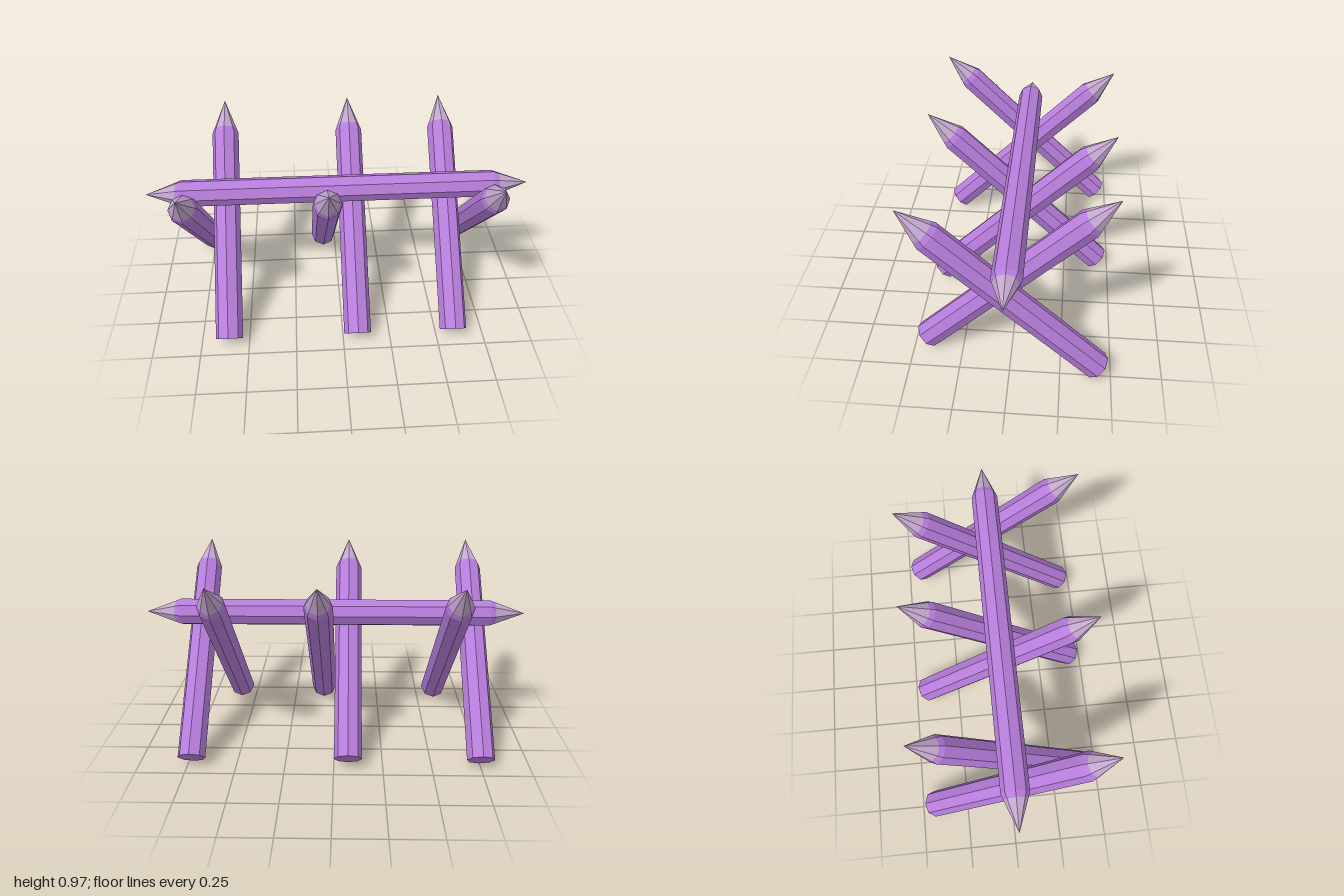
import * as THREE from 'three';

const R = 0.071;      // radius of every pole
const TIP = 0.186;    // length of a sharpened end
const COLLAR = 0.15;  // share of the sharpened end that keeps the bark colour

const bark = new THREE.MeshStandardMaterial({ color: 0xb67ddb, flatShading: true });
const cutWood = new THREE.MeshStandardMaterial({ color: 0xc2a6cd, flatShading: true });

function addMesh(group, name, geometry, material, y) {
  const mesh = new THREE.Mesh(geometry, material);
  mesh.name = name;
  mesh.position.y = y;
  group.add(mesh);
  return mesh;
}

// Sharpened end whose base sits at height y; sign -1 points it down
function addPoint(group, y, sign) {
  const h = TIP * COLLAR, r = R * (1 - COLLAR);
  const collar = addMesh(group, 'collar', new THREE.CylinderGeometry(r, R, h, 8, 1, true), bark, y + sign * h / 2);
  const tip = addMesh(group, 'tip', new THREE.CylinderGeometry(0, r, TIP - h, 8, 1, true), cutWood, y + sign * (TIP + h) / 2);
  if (sign < 0) collar.rotation.x = tip.rotation.x = Math.PI;
}

// Eight-sided pole along y, centred on its shaft
function makePole(name, shaft, bothEnds) {
  const pole = new THREE.Group();
  pole.name = name;
  addMesh(pole, 'shaft', new THREE.CylinderGeometry(R, R, shaft, 8), bark, 0);
  addPoint(pole, shaft / 2, 1);
  if (bothEnds) addPoint(pole, -shaft / 2, -1);
  return pole;
}

export function createModel() {
  const model = new THREE.Group();
  model.name = 'stakeBarricade';

  // Horizontal beam, pointed at both ends
  const beam = makePole('beam', 2 - 2 * TIP, true);
  beam.rotation.z = Math.PI / 2;
  beam.position.y = 0.688;
  model.add(beam);

  // Crossed stakes: [x of the forward-leaning one, x of the backward-leaning one]
  const foot = new THREE.Vector2(-0.433, 0.053);
  const shoulder = new THREE.Vector2(0.352, 0.836);
  const length = foot.distanceTo(shoulder);
  const pairs = [[-0.746, -0.6], [-0.072, 0.075], [0.725, 0.586]];
  for (const pair of pairs) {
    pair.forEach((x, i) => {
      const sign = i === 0 ? 1 : -1;
      const stake = makePole(i === 0 ? 'forwardStake' : 'backwardStake', length, false);
      stake.rotation.x = sign * Math.PI / 4;
      stake.position.set(x, (foot.y + shoulder.y) / 2, sign * (foot.x + shoulder.x) / 2);
      model.add(stake);
    });
  }
  return model;
}
